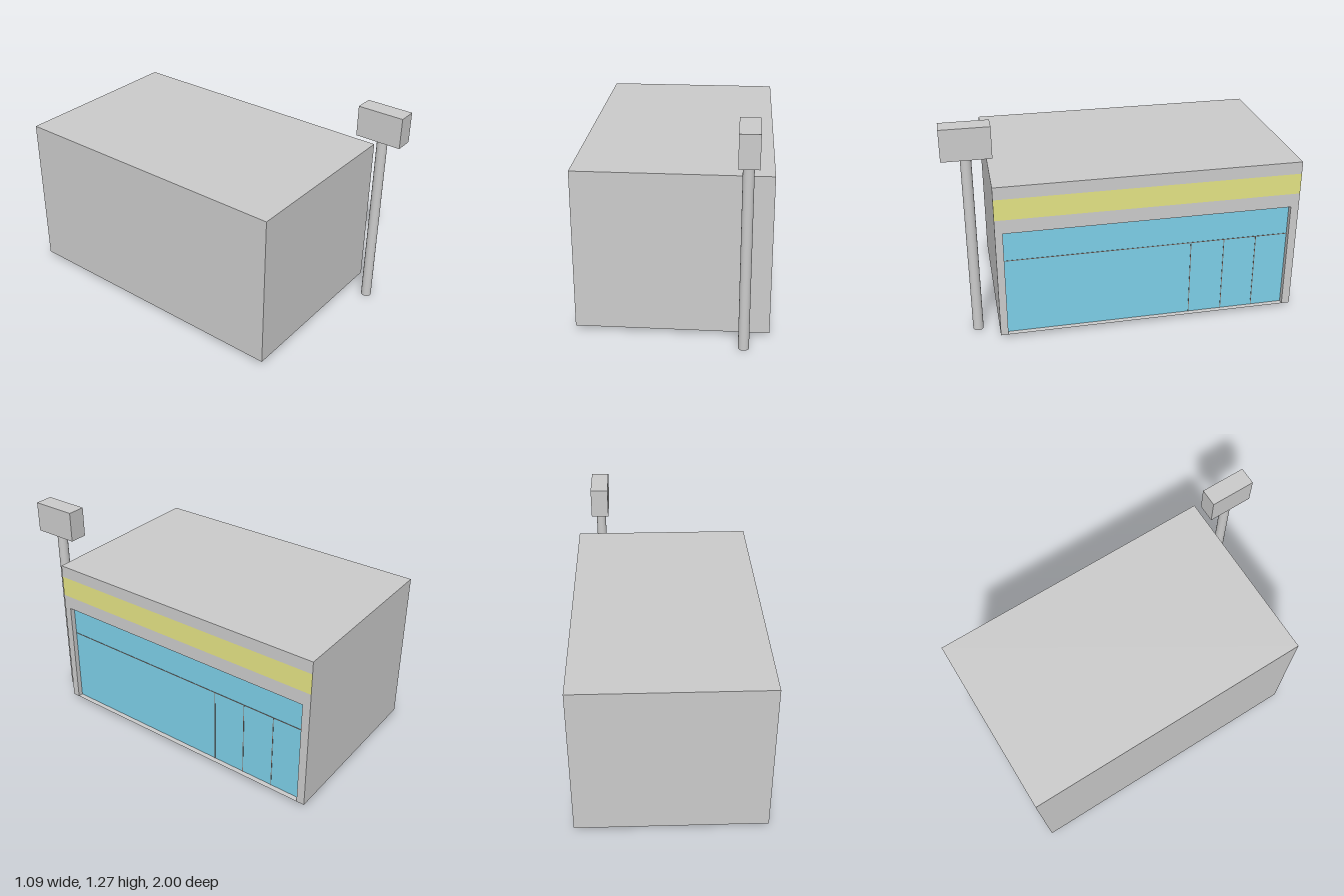
import * as THREE from 'three';

const material = (color) => new THREE.MeshStandardMaterial({ color, side: THREE.DoubleSide });

export function createModel() {
  const model = new THREE.Group();
  const grey = material(0xcccccc);
  const glass = material(0x7dcfe8);
  const yellow = material(0xe4e384);
  const brown = material(0x8a7c74);

  const add = (parent, name, geometry, mat, x = 0, y = 0, z = 0) => {
    const mesh = new THREE.Mesh(geometry, mat);
    mesh.name = name;
    mesh.position.set(x, y, z);
    parent.add(mesh);
    return mesh;
  };

  // Flat rectangle a-b-c-d, corners counter-clockwise seen from outside
  const panel = (parent, name, mat, ...corners) => {
    const geometry = new THREE.BufferGeometry();
    geometry.setAttribute('position', new THREE.Float32BufferAttribute(corners.flat(), 3));
    geometry.setIndex([0, 1, 2, 0, 2, 3]);
    geometry.computeVertexNormals();
    add(parent, name, geometry, mat);
  };
  // Rectangle facing +x, from z front to z back
  const sidePanel = (parent, name, mat, x, y0, y1, zf, zb) =>
    panel(parent, name, mat, [x, y0, zf], [x, y0, zb], [x, y1, zb], [x, y1, zf]);

  // Building limits and the recessed shop window
  const L = -0.545, R = 0.542, B = 0.024, T = 0.956, F = 0.746, K = -1;
  const G = R - 0.03, winTop = 0.677, winF = 0.703, winK = -0.953;
  const bandLow = 0.759, bandHigh = 0.883, transom = 0.49;

  // Plain outer walls, roof and base
  const building = new THREE.Group();
  building.name = 'building';
  model.add(building);
  panel(building, 'frontWall', grey, [L, B, F], [R, B, F], [R, T, F], [L, T, F]);
  panel(building, 'backWall', grey, [R, B, K], [L, B, K], [L, T, K], [R, T, K]);
  panel(building, 'rearSideWall', grey, [L, B, K], [L, B, F], [L, T, F], [L, T, K]);
  panel(building, 'roof', grey, [L, T, F], [R, T, F], [R, T, K], [L, T, K]);
  panel(building, 'base', grey, [L, B, K], [R, B, K], [R, B, F], [L, B, F]);

  // Shop side: wall around the window with a flush coloured stripe
  sidePanel(building, 'parapet', grey, R, bandHigh, T, F, K);
  sidePanel(building, 'stripe', yellow, R, bandLow, bandHigh, F, K);
  sidePanel(building, 'lintel', grey, R, winTop, bandLow, F, K);
  sidePanel(building, 'frontPier', grey, R, B, winTop, F, winF);
  sidePanel(building, 'backPier', grey, R, B, winTop, winK, K);

  // Reveals of the recess
  panel(building, 'soffit', grey,
    [G, winTop, winK], [R, winTop, winK], [R, winTop, winF], [G, winTop, winF]);
  panel(building, 'frontReveal', grey, [G, B, winF], [G, winTop, winF], [R, winTop, winF], [R, B, winF]);
  panel(building, 'backReveal', grey, [G, B, winK], [R, B, winK], [R, winTop, winK], [G, winTop, winK]);

  // Glazing with thin bars
  const shopWindow = new THREE.Group();
  shopWindow.name = 'shopWindow';
  model.add(shopWindow);
  sidePanel(shopWindow, 'glass', glass, G, B, winTop, winF, winK);
  const bar = 0.004;
  add(shopWindow, 'transomBar', new THREE.BoxGeometry(bar, bar, winF - winK), brown,
    G, transom, (winF + winK) / 2);
  for (const z of [-0.373, -0.571, -0.764]) {
    add(shopWindow, 'doorBar', new THREE.BoxGeometry(bar, transom - B, bar), brown,
      G, (transom + B) / 2, z);
  }

  // Roadside sign on a pole
  const sign = new THREE.Group();
  sign.name = 'poleSign';
  model.add(sign);
  add(sign, 'pole', new THREE.CylinderGeometry(0.03, 0.03, 1.087, 24), grey, 0.4, 0.5435, 0.867);
  add(sign, 'signBox', new THREE.BoxGeometry(0.108, 0.181, 0.273), grey, 0.402, 1.1775, 0.8635);

  return model;
}
